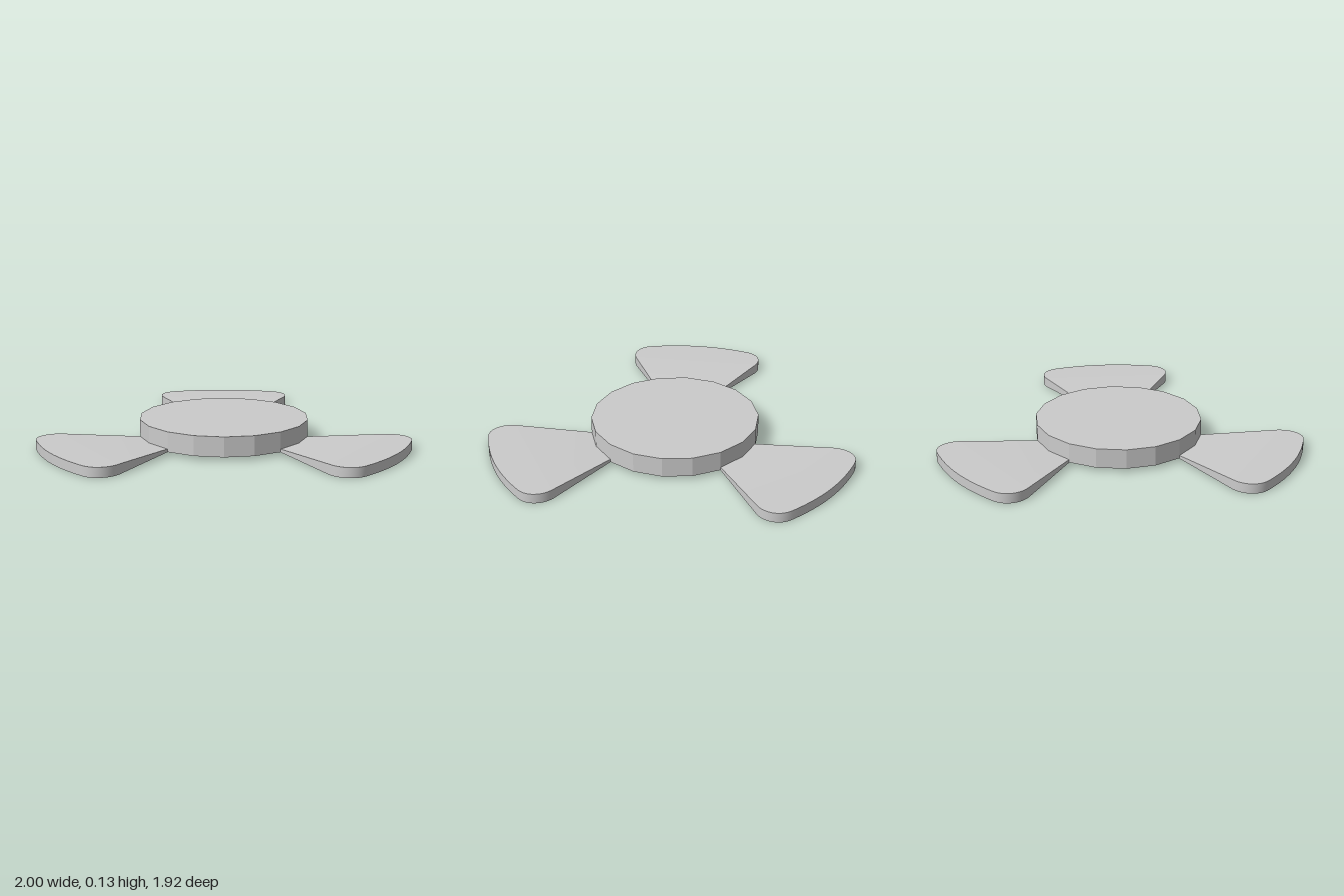
import * as THREE from 'three';
import { toCreasedNormals } from 'three/addons/utils/BufferGeometryUtils.js';

const material = new THREE.MeshStandardMaterial({ color: 0xcccccc });

// Half outline of a blade: x runs outward from the hub axis, y is the half width
function bladeOutline() {
  const v = (x, y) => new THREE.Vector2(x, y);
  const corner = new THREE.CubicBezierCurve(v(0.82, 0.363), v(0.89, 0.4), v(0.975, 0.375), v(0.995, 0.29));
  const rim = new THREE.QuadraticBezierCurve(v(0.995, 0.29), v(1.035, 0.14), v(1.035, 0));
  return [v(0.4, 0.138), ...corner.getPoints(12), ...rim.getPoints(8).slice(1)];
}

// Blade lofted through rectangular ribs, thin at the hub and thick at the rim
function bladeGeometry() {
  const midY = 0.0275;
  const outline = bladeOutline();
  const positions = [];
  const index = [0, 1, 2, 0, 2, 3]; // inner end
  outline.forEach(({ x, y: w }, i) => {
    const t = Math.min(1, (x - 0.4) / 0.42);
    const h = THREE.MathUtils.lerp(0.007, 0.0275, t);
    positions.push(x, midY + h, w, x, midY + h, -w, x, midY - h, -w, x, midY - h, w);
    if (i === 0) return;
    for (let k = 0; k < 4; k++) {
      const n = (k + 1) % 4;
      const a = (i - 1) * 4 + k, b = i * 4 + k, c = i * 4 + n, d = (i - 1) * 4 + n;
      index.push(a, b, c, a, c, d);
    }
  });
  const geometry = new THREE.BufferGeometry();
  geometry.setAttribute('position', new THREE.Float32BufferAttribute(positions, 3));
  geometry.setIndex(index);
  return toCreasedNormals(geometry, 0.5);
}

export function createModel() {
  const model = new THREE.Group();
  model.name = 'propeller';

  // Faceted hub disc
  const hubGeometry = new THREE.CylinderGeometry(0.465, 0.465, 0.11, 18, 1, false, Math.PI / 2);
  const hubMaterial = material.clone();
  hubMaterial.flatShading = true;
  const hub = new THREE.Mesh(hubGeometry, hubMaterial);
  hub.name = 'hub';
  hub.position.y = 0.075;
  model.add(hub);

  // Three blades evenly spaced around the hub
  const geometry = bladeGeometry();
  for (let i = 0; i < 3; i++) {
    const blade = new THREE.Mesh(geometry, material);
    blade.name = `blade${i + 1}`;
    blade.rotation.y = -THREE.MathUtils.degToRad(40 + 120 * i);
    model.add(blade);
  }

  // Shift the hub axis so the whole outline is centred
  model.children.forEach((part) => {
    part.position.x = 0.035;
    part.position.z = 0.07;
  });
  return model;
}
